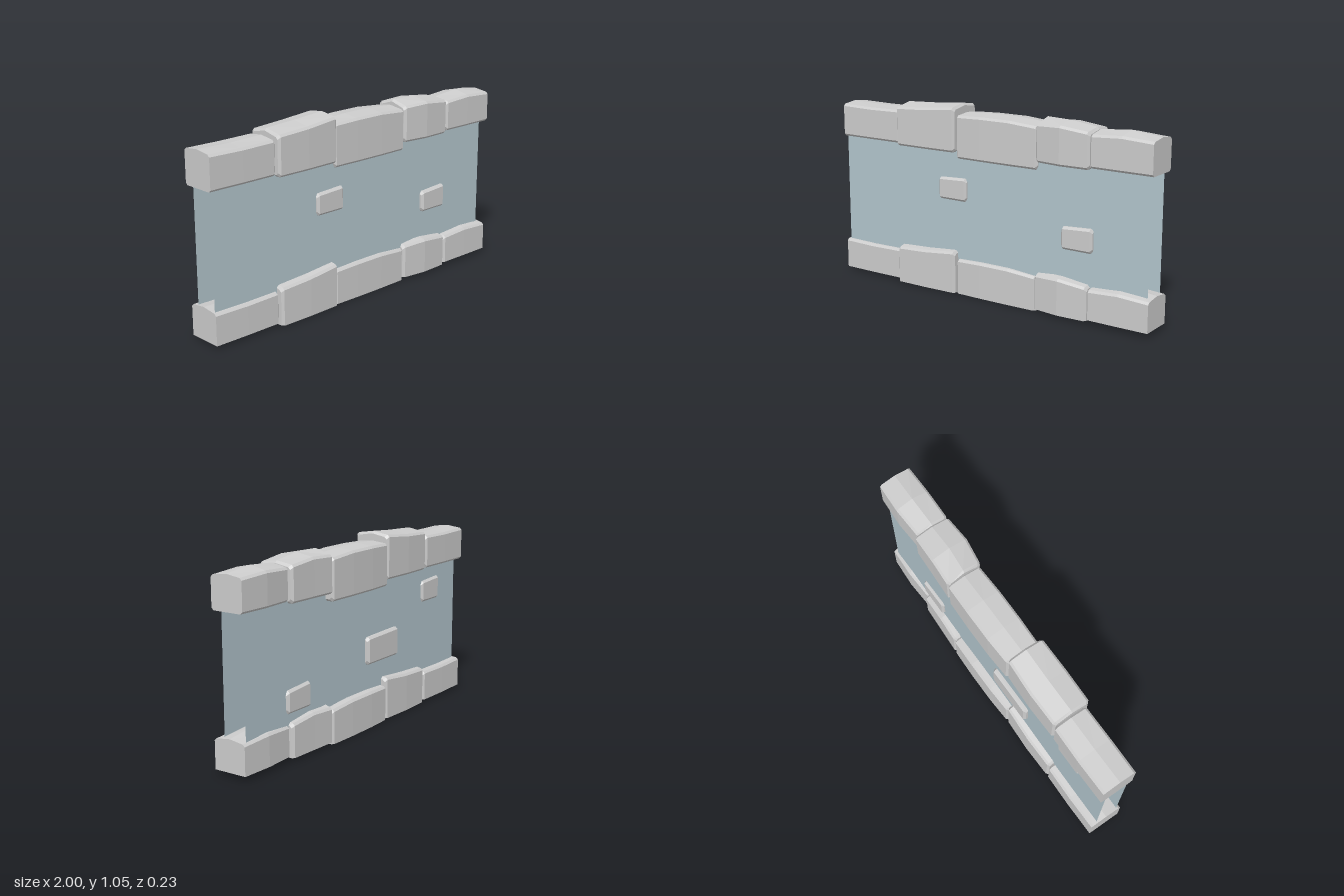
import * as THREE from 'three';

const stone = new THREE.MeshStandardMaterial({ color: 0xcccccc, side: THREE.DoubleSide });
stone.name = 'stoneGrey';
stone.flatShading = true;
const plaster = new THREE.MeshStandardMaterial({ color: 0xb2c5cc, side: THREE.DoubleSide });
plaster.name = 'paleBluePlaster';

// Loft equal-length closed [x, y, z] rings along x; skip leaves one strip open.
function loft(rings, skip = -1) {
  const n = rings[0].length, pos = [];
  const tri = (a, b, c) => pos.push(...a, ...b, ...c);
  for (let i = 0; i < rings.length - 1; i++) {
    for (let j = 0; j < n; j++) {
      if (j === skip) continue;
      const k = (j + 1) % n, A = rings[i], B = rings[i + 1];
      tri(A[j], B[j], B[k]);
      tri(A[j], B[k], A[k]);
    }
  }
  const first = rings[0], last = rings[rings.length - 1];
  for (let j = 1; j < n - 1; j++) {
    tri(first[0], first[j], first[j + 1]);
    tri(last[0], last[j + 1], last[j]);
  }
  const g = new THREE.BufferGeometry();
  g.setAttribute('position', new THREE.Float32BufferAttribute(pos, 3));
  g.computeVertexNormals();
  return g;
}

// Chamfered section with a ridged top; inset shrinks it for the end chamfers.
function section(x, s, bottom, open, inset) {
  const [, edge, ridge, back, front] = s;
  const b = 0.012, c = open ? 0 : b;
  const z0 = back + inset, z1 = front - inset, top = edge - inset;
  const y0 = open ? bottom : bottom + inset;
  const mid = (back + front) / 2;
  return [
    [x, y0, z1 - c], [x, y0 + c, z1], [x, top - b, z1], [x, top, z1 - b],
    [x, ridge - inset, mid],
    [x, top, z0 + b], [x, top - b, z0], [x, y0 + c, z0], [x, y0, z0 + c],
  ].reverse();
}

function block(name, spec, bottom, { open = false, dy = 0, dz = 0 } = {}) {
  const b = 0.012, rings = [], st = spec.stations, last = st.length - 1;
  st.forEach((s, i) => {
    const t = [s[0], s[1] + dy, s[2] + dy, s[3] + dz, s[4] + dz];
    if (i === 0 && !spec.flatLeft) {
      rings.push(section(s[0], t, bottom, open, b), section(s[0] + b, t, bottom, open, 0));
    } else if (i === last && !spec.flatRight) {
      rings.push(section(s[0] - b, t, bottom, open, 0), section(s[0], t, bottom, open, b));
    } else rings.push(section(s[0], t, bottom, open, 0));
  });
  // Strip 8 of the reversed ring is the underside.
  const mesh = new THREE.Mesh(loft(rings, open ? 8 : -1), stone);
  mesh.name = name;
  if (open) {
    mesh.name = name;
  }
  return mesh;
}

// Stations: x, top edge height, ridge height, back z, front z.
const COURSE = [
  { top: 0.8, base: 0.015, flatLeft: true, stations: [
    [-1, 0.985, 0.995, -0.11, 0.083], [-0.8, 0.982, 0.99, -0.113, 0.085], [-0.595, 0.985, 0.995, -0.11, 0.083]] },
  { top: 0.793, base: 0.004, stations: [
    [-0.595, 1.01, 1.028, -0.108, 0.107], [-0.4, 1.02, 1.037, -0.113, 0.108], [-0.2, 1.038, 1.052, -0.106, 0.102]] },
  { top: 0.76, base: 0, stations: [
    [-0.2, 0.995, 1.003, -0.107, 0.083], [-0.04, 1, 1.01, -0.115, 0.086],
    [0.14, 1, 1.01, -0.116, 0.086], [0.32, 0.987, 0.999, -0.112, 0.082]] },
  { top: 0.803, base: 0.015, stations: [
    [0.315, 1.005, 1.03, -0.112, 0.092], [0.47, 1.012, 1.028, -0.106, 0.111], [0.64, 0.995, 1.008, -0.1, 0.105]] },
  { top: 0.814, base: 0.025, flatRight: true, stations: [
    [0.64, 0.985, 1, -0.082, 0.104], [0.82, 0.995, 1.014, -0.092, 0.105], [0.995, 0.985, 0.996, -0.083, 0.104]] },
];

// Raised accent stones: x start, x end, bottom, top at start, top at end, back z, front z.
const ACCENTS = [
  ['frontAccentStone', -0.32, -0.135, 0.525, 0.646, 0.654, 0.025, 0.084],
  ['frontAccentStone', 0.47, 0.655, 0.368, 0.488, 0.498, 0.027, 0.088],
  ['backAccentStone', 0.467, 0.66, 0.245, 0.378, 0.366, -0.082, -0.025],
  ['backAccentStone', -0.34, -0.04, 0.345, 0.505, 0.498, -0.09, -0.033],
  ['backAccentStone', -0.795, -0.61, 0.595, 0.727, 0.717, -0.08, -0.023],
];

export function createModel() {
  const wall = new THREE.Group();
  wall.name = 'stoneWall';

  // Coping row and the matching open-bottomed base row
  COURSE.forEach((spec, i) => {
    wall.add(block('copingStone' + (i + 1), spec, spec.top));
    wall.add(block('baseStone' + (i + 1), spec, spec.base, { open: true, dy: -0.8, dz: 0.004 }));
  });

  // Plaster faces
  for (const [name, side] of [['frontPanel', 1], ['backPanel', -1]]) {
    const panel = new THREE.Mesh(new THREE.PlaneGeometry(1.96, 0.85), plaster);
    panel.name = name;
    panel.position.set(-0.01, 0.475, side * 0.066);
    if (side < 0) panel.rotation.y = Math.PI;
    wall.add(panel);
  }

  // Accent stones set into the plaster
  for (const [name, x0, x1, y, t0, t1, z0, z1] of ACCENTS) {
    const stations = [[x0, t0, t0, z0, z1], [x1, t1, t1, z0, z1]];
    wall.add(block(name, { stations }, y));
  }
  return wall;
}
